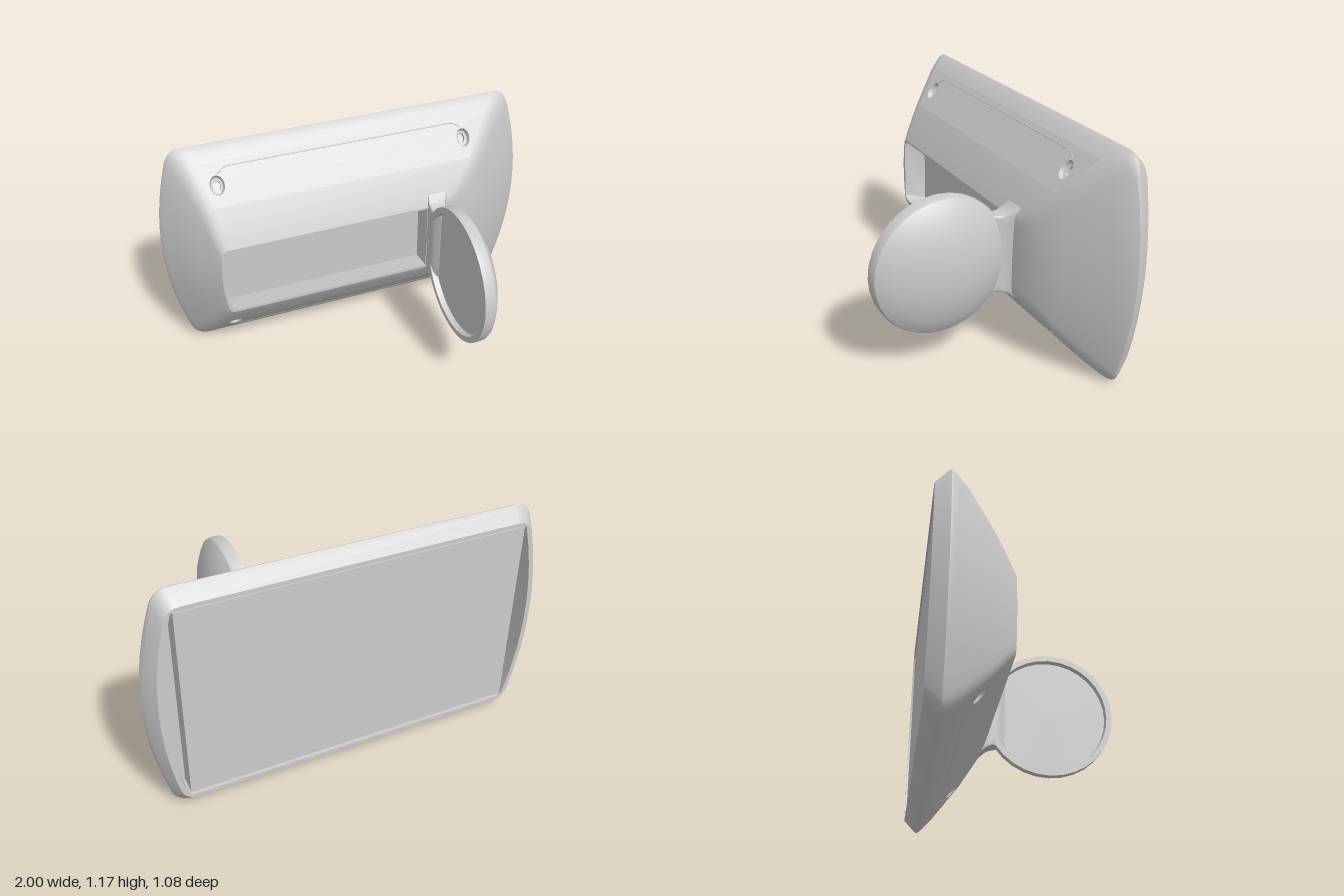
import * as THREE from 'three';
import { toCreasedNormals } from 'three/addons/utils/BufferGeometryUtils.js';

const mat = new THREE.MeshStandardMaterial({ color: 0xcccccc });
const thin = new THREE.MeshStandardMaterial({ color: 0xcccccc, side: THREE.DoubleSide });

function mesh(name, geometry, material = mat) {
  const m = new THREE.Mesh(geometry, material);
  m.name = name;
  return m;
}

// Skin between rings of Vector3 (counter-clockwise seen from +z)
function loft(rings, skip = () => false) {
  const pos = [];
  const n = rings[0].length;
  for (let i = 0; i < rings.length - 1; i++) {
    for (let j = 0; j < n; j++) {
      if (skip(i, j)) continue;
      const k = (j + 1) % n;
      const a = rings[i][j], b = rings[i][k], c = rings[i + 1][k], d = rings[i + 1][j];
      for (const p of [a, b, c, a, c, d]) pos.push(p.x, p.y, p.z);
    }
  }
  const g = new THREE.BufferGeometry();
  g.setAttribute('position', new THREE.Float32BufferAttribute(pos, 3));
  return toCreasedNormals(g, 0.6);
}

// Four-sided outline: straight top and bottom, bowed ends, rounded corners
const SIDE = 14, CORNER = 5;
function ring([z, y0, y1, cl, bl, cr, br, r = 0.065]) {
  const mid = (y0 + y1) / 2, h = (y1 - y0) / 2, T = 1 - r / h;
  const end = (c, b, inward) => {
    const at = t => new THREE.Vector2(c + (b - c) * (1 - t * t), mid + h * t);
    const corner = s => new THREE.QuadraticBezierCurve(
      new THREE.Vector2(c + inward * r, mid + s * h), at(s), at(s * T)).getPoints(CORNER);
    const pts = corner(-1);
    for (let i = 1; i < SIDE; i++) pts.push(at(-T + 2 * T * i / SIDE));
    return pts.concat(corner(1).reverse());
  };
  return [...end(cr, br, -1), ...end(cl, bl, 1).reverse()].map(p => new THREE.Vector3(p.x, p.y, z));
}

function housing() {
  const g = new THREE.Group();
  g.name = 'housing';
  // z, bottom, top, left corner, left bow, right corner, right bow, rounding
  const sections = [
    [-0.44, 0.12, 1.055, -0.8, -0.8, 0.8, 0.8, 0.02],
    [-0.44, 0.08, 1.095, -0.85, -0.925, 0.85, 0.925, 0.02],
    [-0.54, 0.08, 1.095, -0.85, -0.925, 0.85, 0.925, 0.02],
    [-0.54, 0.06, 1.115, -0.87, -0.95, 0.87, 0.945],
    [-0.485, 0.008, 1.165, -0.89, -0.99, 0.89, 0.985],
    [-0.47, 0.0, 1.175, -0.895, -1.0, 0.895, 0.993],
    [-0.455, 0.009, 1.167, -0.892, -0.993, 0.892, 1.0],
    [-0.435, 0.027, 1.152, -0.88, -0.975, 0.875, 0.98],
    [-0.39, 0.068, 1.113, -0.855, -0.945, 0.82, 0.915],
    [-0.26, 0.217, 0.932, -0.79, -0.84, 0.67, 0.72, 0.05],
    [-0.20, 0.298, 0.828, -0.765, -0.79, 0.57, 0.605, 0.05],
    [-0.172, 0.335, 0.77, -0.75, -0.77, 0.5, 0.52, 0.04],
    [-0.16, 0.355, 0.745, -0.74, -0.76, 0.42, 0.435, 0.03],
  ];
  const rings = sections.map(ring);
  const BAND = 8; // flat sloping band that carries the screw holes
  const n = rings[0].length, half = n / 2;
  g.add(mesh('shell', loft(rings, (i, j) => i === BAND && (j === half - 1 || j === n - 1))));

  // Screen slab almost flush with the back rim, gaps at its bowed ends
  const screen = new THREE.BoxGeometry(1.69, 0.995, 0.1).translate(-0.005, 0.5875, -0.482);
  g.add(mesh('screen', screen));

  // Front face with the long opening
  const outline = (l, r, b, t, k) => new THREE.Path()
    .moveTo(r, b).lineTo(r, t).lineTo(l + k, t)
    .quadraticCurveTo(l, t, l, t - k).lineTo(l, b + k).quadraticCurveTo(l, b, l + k, b).lineTo(r, b);
  const opening = outline(-0.74, 0.34, 0.37, 0.735, 0.045);
  const base = outline(-0.745, 0.345, 0.345, 0.75, 0.01);
  const face = new THREE.Shape(rings[rings.length - 1].map(p => new THREE.Vector2(p.x, p.y)));
  face.holes.push(opening);
  g.add(mesh('frontFace', new THREE.ShapeGeometry(face, 8).translate(0, 0, -0.16)));
  const wall = (path, z) => path.getPoints(8).slice(0, -1).map(p => new THREE.Vector3(p.x, p.y, z));
  g.add(mesh('openingWall', loft([wall(opening, -0.16), wall(base, -0.29)])));
  const floor = new THREE.ShapeGeometry(new THREE.Shape(base.getPoints(8)));
  g.add(mesh('openingFloor', floor.translate(0, 0, -0.29)));

  // Upper and lower sloping panels with screw holes and a seam
  g.add(slope('upperPanel', rings[BAND], rings[BAND + 1], half - 1, 1.02, 1.09));
  g.add(slope('lowerPanel', rings[BAND], rings[BAND + 1], n - 1, 0.175, 0.10));
  return g;
}

function slope(name, lower, upper, j, holeY, seamY) {
  const g = new THREE.Group();
  g.name = name;
  const k = (j + 1) % lower.length;
  const a = lower[j];
  const u = lower[k].clone().sub(a).normalize();
  const v = upper[j].clone().sub(a);
  v.addScaledVector(u, -v.dot(u)).normalize();
  const w = u.clone().cross(v);
  g.applyMatrix4(new THREE.Matrix4().makeBasis(u, v, w).setPosition(a));
  const local = (x, y) => new THREE.Vector2((x - a.x) * u.x, (y - a.y) / v.y);

  const shape = new THREE.Shape([a, lower[k], upper[k], upper[j]].map(p => {
    const d = p.clone().sub(a);
    return new THREE.Vector2(d.dot(u), d.dot(v));
  }));
  const STRETCH = 1.35; // holes look round from the front
  const cup = [[0, -0.04], [0.018, -0.04], [0.018, -0.025], [0.03, -0.02], [0.036, 0]];
  for (const x of [-0.70, 0.60]) {
    const c = local(x, holeY);
    shape.holes.push(new THREE.Path().absellipse(c.x, c.y, 0.036, 0.036 * STRETCH, 0, Math.PI * 2, true));
    const hole = new THREE.LatheGeometry(cup.map(p => new THREE.Vector2(...p)), 24)
      .rotateX(Math.PI / 2).scale(1, STRETCH, 1);
    const m = mesh('screwHole', toCreasedNormals(hole, 0.5), thin);
    m.position.set(c.x, c.y, 0);
    g.add(m);
  }
  g.add(mesh('panelSkin', new THREE.ShapeGeometry(shape, 12)));

  const low = holeY + (seamY - holeY) * 0.65;
  const pts = [[-0.69, low], [-0.645, seamY], [0.555, seamY], [0.595, low]]
    .map(p => local(...p)).map(p => new THREE.Vector3(p.x, p.y, -0.002));
  const path = new THREE.CurvePath();
  for (let i = 0; i < 3; i++) path.add(new THREE.LineCurve3(pts[i], pts[i + 1]));
  g.add(mesh('seam', new THREE.TubeGeometry(path, 60, 0.004, 6)));
  return g;
}

// Domed round plate with a shallow hollow on its flat side
function disc() {
  const profile = [[0, 0.37], [0.315, 0.37], [0.32, 0.34], [0.35, 0.34], [0.35, 0.385], [0.343, 0.4],
    [0.325, 0.413], [0.27, 0.444], [0.18, 0.474], [0.09, 0.49], [0, 0.495]];
  const geo = new THREE.LatheGeometry(profile.map(p => new THREE.Vector2(...p)), 32).rotateZ(-Math.PI / 2);
  const m = mesh('disc', toCreasedNormals(geo, 0.5), thin);
  m.position.set(0, 0.555, 0.19);
  return m;
}

// Waisted neck joining the housing and the disc: z, half height, inner x, outer x
function neck() {
  const rings = [
    [-0.215, 0.265, 0.36, 0.48], [-0.17, 0.232, 0.345, 0.45], [-0.15, 0.217, 0.341, 0.434],
    [-0.125, 0.206, 0.34, 0.424], [-0.1, 0.202, 0.34, 0.418], [-0.075, 0.205, 0.35, 0.405], [-0.04, 0.2, 0.375, 0.4],
  ].map(([z, h, x0, x1]) => ring([z, 0.557 - h, 0.557 + h, x0, x0, x1, x1, 0.012]));
  return mesh('neck', loft(rings));
}

export function createModel() {
  const model = new THREE.Group();
  model.name = 'handheldDisplay';
  model.add(housing(), neck(), disc());
  return model;
}
